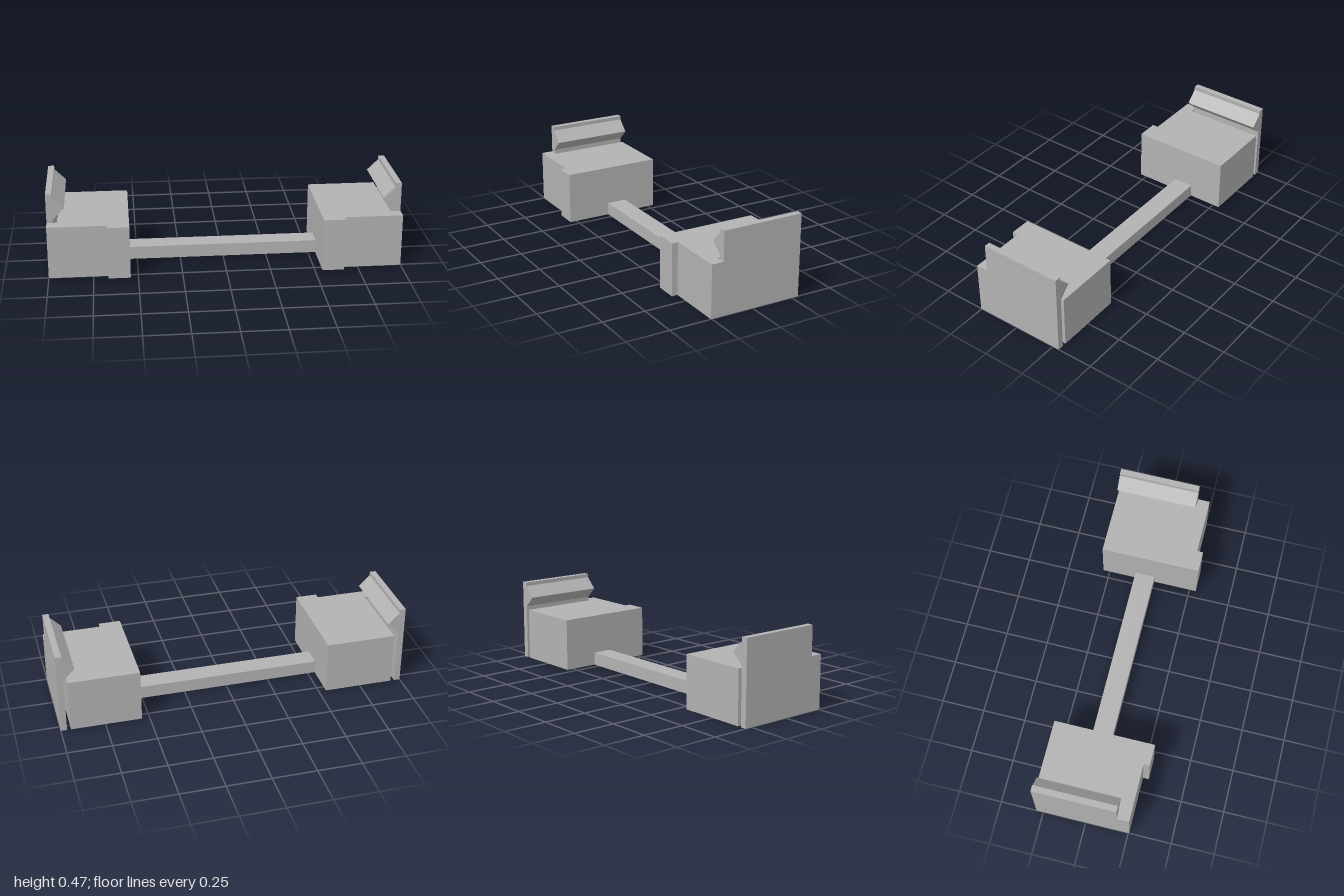
import * as THREE from 'three';

const grey = new THREE.MeshStandardMaterial({ color: 0xb2b2b2 });
grey.name = 'grey plastic';

// Extruded outline, mirrored across x when side is -1
function extrude(points, side, depth) {
  const shape = new THREE.Shape(points.map(([x, y]) => new THREE.Vector2(x * side, y)));
  return new THREE.ExtrudeGeometry(shape, { depth, bevelEnabled: false });
}

function part(name, geometry) {
  const mesh = new THREE.Mesh(geometry, grey);
  mesh.name = name;
  return mesh;
}

export function createModel() {
  const model = new THREE.Group();
  model.name = 'clipBracket';

  const blockHeight = 0.305;
  const back = -0.29;
  const slotEnd = 0.185;
  const inner = 0.543;

  // Block footprint (x, z): front tab at the inner corner, slot cut beside the clip
  const footprint = [
    [inner, back], [0.943, back], [0.943, slotEnd], [1, slotEnd],
    [1, 0.255], [0.667, 0.255], [0.667, 0.29], [inner, 0.29],
  ];

  // Clip section (x, y): thin upright wall with a pointed barb facing inward
  const clipSection = [
    [1, 0], [1, 0.474], [0.965, 0.474], [0.965, 0.452],
    [0.9, 0.388], [0.965, 0.324], [0.965, 0],
  ];

  for (const [side, label] of [[1, 'left'], [-1, 'right']]) {
    const end = new THREE.Group();
    end.name = label + 'End';

    const block = extrude(footprint, side, blockHeight);
    block.rotateX(Math.PI / 2).translate(0, blockHeight, 0);
    end.add(part(label + 'Block', block));

    const clip = extrude(clipSection, side, slotEnd - back);
    clip.translate(0, 0, back);
    end.add(part(label + 'Clip', clip));

    model.add(end);
  }

  // Rail joining the two blocks
  const rail = new THREE.BoxGeometry(inner * 2, 0.075, 0.118);
  rail.translate(0, 0.0375, -0.029);
  model.add(part('connectingRail', rail));

  return model;
}
